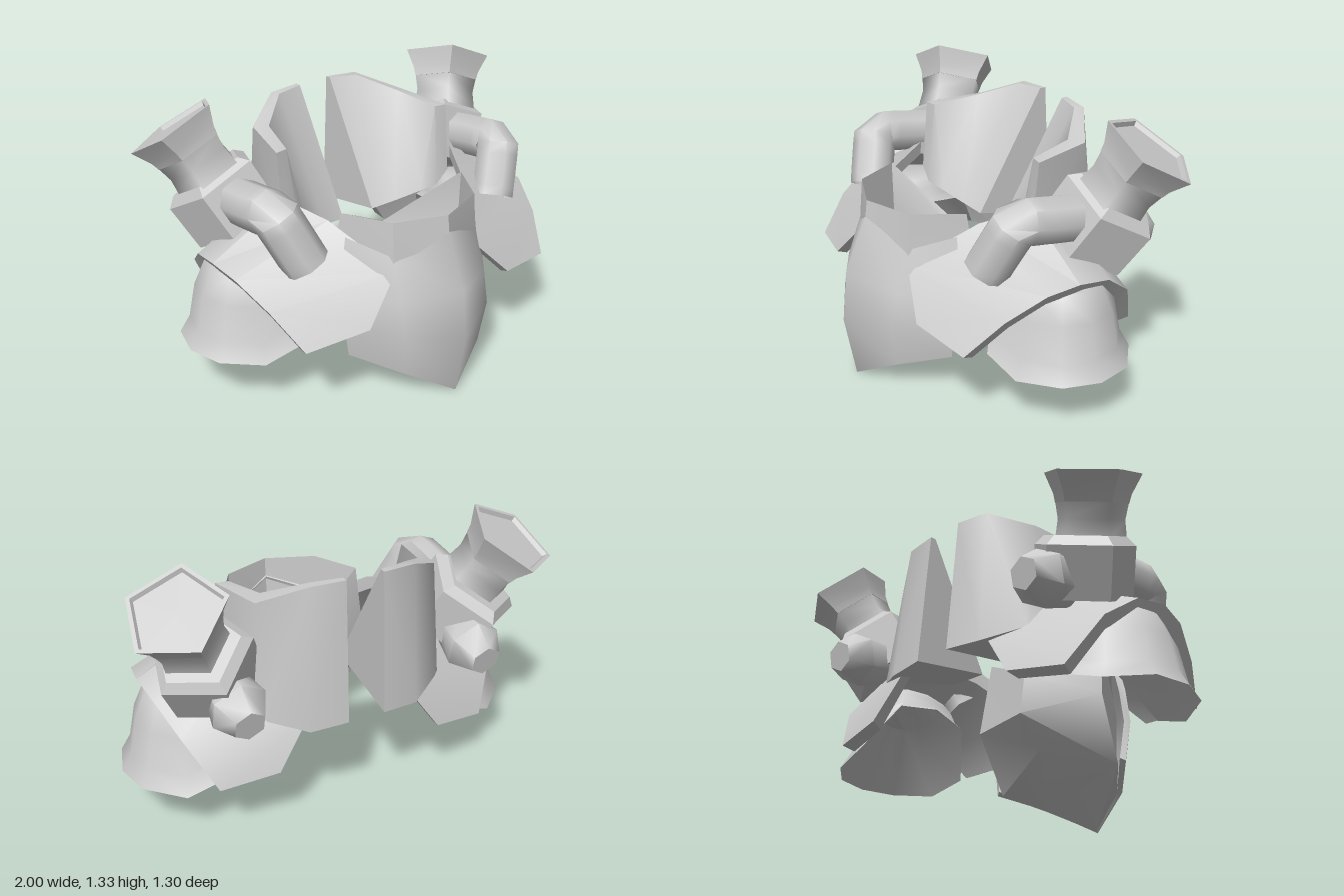
import * as THREE from 'three';
import { toCreasedNormals } from 'three/addons/utils/BufferGeometryUtils.js';

const grey = new THREE.MeshStandardMaterial({ color: 0xcccccc, side: THREE.DoubleSide });
const V = (p) => new THREE.Vector3(...p);

// Makes the faces of a closed solid point outward, then sharpens its edges
function finish(geo, crease) {
  const g = geo.index ? geo.toNonIndexed() : geo;
  const pos = g.attributes.position;
  const a = new THREE.Vector3(), b = new THREE.Vector3(), c = new THREE.Vector3();
  let volume = 0;
  for (let i = 0; i < pos.count; i += 3) {
    a.fromBufferAttribute(pos, i);
    b.fromBufferAttribute(pos, i + 1);
    c.fromBufferAttribute(pos, i + 2);
    volume += a.dot(b.cross(c));
  }
  if (volume < 0) {
    for (let i = 0; i < pos.count; i += 3) {
      a.fromBufferAttribute(pos, i);
      c.fromBufferAttribute(pos, i + 2);
      pos.setXYZ(i, c.x, c.y, c.z);
      pos.setXYZ(i + 2, a.x, a.y, a.z);
    }
  }
  g.deleteAttribute('normal');
  g.deleteAttribute('uv');
  return toCreasedNormals(g, crease);
}

// Solid through closed rings of equal, even point count, capped at both ends
function loft(rings) {
  const n = rings[0].length, index = [];
  const quad = (a, b, c, d) => index.push(a, b, c, a, c, d);
  for (let r = 0; r < rings.length - 1; r++)
    for (let i = 0; i < n; i++) {
      const j = (i + 1) % n;
      quad(r * n + i, r * n + j, (r + 1) * n + j, (r + 1) * n + i);
    }
  const last = (rings.length - 1) * n;
  for (let i = 0; i < n / 2 - 1; i++) {
    quad(n - 1 - i, n - 2 - i, i + 1, i);
    quad(last + i, last + i + 1, last + n - 2 - i, last + n - 1 - i);
  }
  const g = new THREE.BufferGeometry();
  g.setAttribute('position', new THREE.Float32BufferAttribute(rings.flat(2), 3));
  g.setIndex(index);
  return g;
}

// Thick plate: each row of surface points is doubled toward a centre
function plate(rows, centre, t) {
  const inward = (p) => {
    const v = V(p);
    return v.add(V(centre).sub(v).setLength(t)).toArray();
  };
  return loft(rows.map((row) => [...row, ...row.map(inward).reverse()]));
}

// Turned solid whose axis starts at a point and runs along a direction
function turned(profile, sides, origin, axis, toward) {
  const y = V(axis).normalize();
  const z = V(toward);
  z.addScaledVector(y, -z.dot(y)).normalize();
  const m = new THREE.Matrix4().makeBasis(y.clone().cross(z), y, z).setPosition(...origin);
  return new THREE.LatheGeometry(profile.map((p) => new THREE.Vector2(...p)), sides).applyMatrix4(m);
}

export function createModel() {
  const model = new THREE.Group();
  model.name = 'armour';
  const add = (name, geo, crease = 0.6) => {
    const mesh = new THREE.Mesh(finish(geo, crease), grey);
    mesh.name = name;
    model.add(mesh);
  };
  // Builds a part on the left and its mirror on the right
  const pair = (name, make, crease) => {
    add(name + 'Left', make(), crease);
    add(name + 'Right', make().scale(-1, 1, 1), crease);
  };

  // Pointed breastplate, in columns from side to side
  const middle = [[0, 0.81, 0.51], [0, 0.55, 0.62], [0, 0.31, 0.645], [0, 0.005, 0.59]];
  const half = [[0.24, 0.72, 0.42], [0.25, 0.52, 0.49], [0.25, 0.36, 0.52], [0.23, 0.14, 0.49]];
  const edge = [[0.38, 0.8, 0.25], [0.43, 0.55, 0.27], [0.43, 0.4, 0.3], [0.4, 0.21, 0.29]];
  const flip = (col) => col.map(([x, y, z]) => [-x, y, z]);
  add('breastplate', plate([flip(edge), flip(half), middle, half, edge], [0, 0.45, 0.05], 0.03), 1.1);

  // Body behind the breastplate: raised collar wall around a sunken floor,
  // a wedge-shaped back and a flat slanting underside
  const bodyRing = (f, s, c, b) => [f, s, c, b, [-c[0], c[1], c[2]], [-s[0], s[1], s[2]]];
  add('bodyBlock', loft([
    bodyRing([0, 0.64, 0.48], [0.23, 0.64, 0.4], [0.35, 0.64, 0.19], [0, 0.64, 0.06]),
    bodyRing([0, 0.89, 0.5], [0.24, 0.89, 0.41], [0.36, 0.89, 0.19], [0, 0.68, 0.04]),
    bodyRing([0, 0.5, 0.55], [0.25, 0.5, 0.44], [0.39, 0.5, 0.14], [0, 0.47, 0.01]),
    bodyRing([0, 0.01, 0.58], [0.22, 0.13, 0.46], [0.36, 0.2, 0.285], [0, 0.32, 0.15]),
  ]));

  // Arched shoulder plates, from the front hem over the top to the back hem
  pair('shoulderPlate', () => plate([
    [[0.42, 0.45, 0.48], [0.72, 0.42, 0.42]],
    [[0.23, 0.65, 0.42], [0.8, 0.58, 0.27]],
    [[0.4, 0.85, 0.15], [0.86, 0.685, 0.1]],
    [[0.5, 0.91, -0.05], [0.88, 0.71, -0.05]],
    [[0.44, 0.87, -0.25], [0.86, 0.68, -0.22]],
    [[0.23, 0.63, -0.5], [0.8, 0.56, -0.38]],
    [[0.41, 0.37, -0.545], [0.68, 0.33, -0.5]],
  ], [0.55, 0.2, -0.05], 0.065), 0.5);

  // Flared upper arm guards: a skirt on the outer side, hollow underneath
  const hem = [[0.62, 0.33, 0.24], [0.79, 0.27, 0.2], [0.95, 0.28, 0.07], [1, 0.28, -0.1], [0.96, 0.28, -0.27],
    [0.8, 0.27, -0.41], [0.62, 0.33, -0.43], [0.5, 0.55, -0.3], [0.46, 0.58, -0.1], [0.5, 0.55, 0.12]];
  const skirt = (k, t) => hem.map(([x, y, z]) =>
    [x + (0.66 - x) * k, y + (0.7 - y) * t, z + (-0.09 - z) * k]);
  pair('armGuard', () => loft([
    skirt(0.5, 0.97), skirt(0.39, 0.88), skirt(0.24, 0.6), skirt(0.14, 0.2), skirt(0, 0), skirt(0.6, 0.7),
  ]), 0.8);

  // Tall back collar plates: leaning back, sloping inside, wrapping to the side
  pair('backCollar', () => loft([
    [[0.09, 1.235, -0.5], [0.09, 1.235, -0.53], [0.09, 0.56, -0.58], [0.09, 0.64, -0.16]],
    [[0.23, 1.23, -0.47], [0.25, 1.23, -0.51], [0.27, 0.55, -0.56], [0.22, 0.66, -0.13]],
    [[0.39, 1.15, -0.32], [0.44, 1.14, -0.38], [0.45, 0.6, -0.45], [0.35, 0.69, -0.09]],
    [[0.44, 1.12, -0.1], [0.5, 1.12, -0.09], [0.5, 0.78, -0.06], [0.42, 0.72, -0.05]],
  ]), 0.9);

  // Five-sided exhausts leaning out and back: cup, neck and base collar
  const mouth = [0.81, 1.22, -0.445], lean = [0.37, 0.84, -0.39], corner = [-0.09, 0.12, 0.15];
  pair('exhaustCup', () => turned([
    [0, -0.13], [0.17, -0.13], [0.18, -0.09], [0.226, 0], [0.205, 0], [0.195, -0.02], [0, -0.02],
  ], 5, mouth, lean, corner));
  pair('exhaustNeck', () => turned([
    [0, -0.36], [0.19, -0.36], [0.165, -0.28], [0.155, -0.2], [0.17, -0.12], [0, -0.12],
  ], 5, mouth, lean, corner), 1.3);
  pair('exhaustBase', () => turned([
    [0, -0.54], [0.23, -0.54], [0.235, -0.31], [0.19, -0.27], [0, -0.27],
  ], 5, [0.8, 1.21, -0.475], lean, corner));

  // Elbow pipes from the exhaust base down into the shoulder plate
  pair('elbowPipe', () => {
    const path = [[0.66, 0.9, -0.22], [0.665, 0.925, -0.05], [0.66, 0.945, 0.13], [0.56, 0.71, 0.21]];
    const curve = new THREE.CatmullRomCurve3(path.map(V), false, 'catmullrom', 0.1);
    return new THREE.TubeGeometry(curve, 12, 0.108, 8);
  }, 0.9);

  // Stubby rear nozzles with a bevelled tip
  pair('rearNozzle', () => turned([
    [0, 0], [0.1, 0], [0.135, 0.17], [0.075, 0.28], [0, 0.28],
  ], 6, [0.59, 0.78, -0.36], [-0.02, -0.2, -0.97], [0, 1, 0]), 1.1);

  return model;
}
